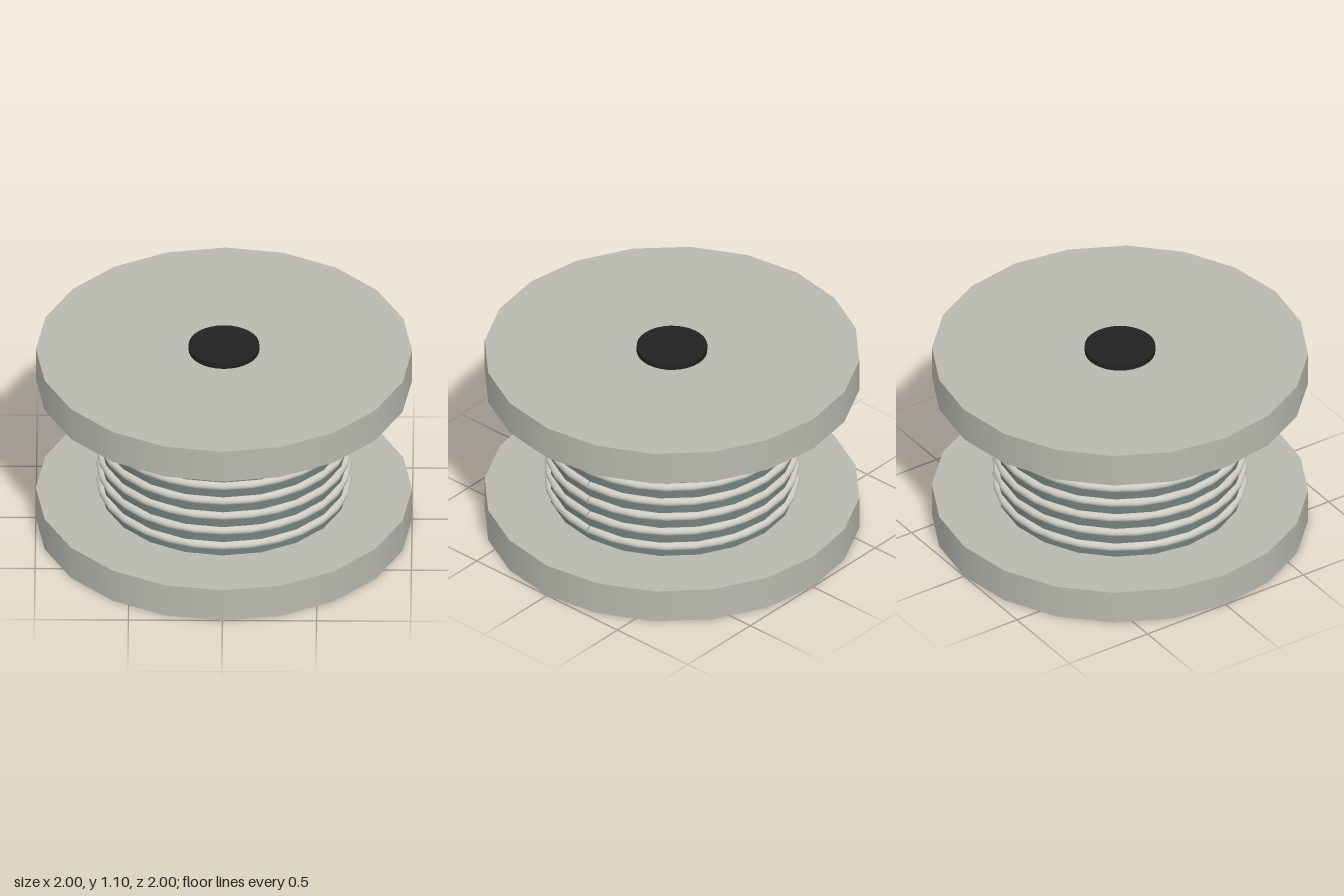
import * as THREE from 'three';

export function createModel() {
  const model = new THREE.Group();
  model.name = 'cableSpool';

  const mat = (name, color, side = THREE.FrontSide) => {
    const m = new THREE.MeshStandardMaterial({ color, side });
    m.name = name;
    return m;
  };
  const flangeGrey = mat('flangeGrey', 0xb9b9b1);
  const coreGrey = mat('coreBlueGrey', 0x74807f);
  const cableGrey = mat('cableLightGrey', 0xcfcdc5, THREE.DoubleSide);
  const hubBlack = mat('hubBlack', 0x222222);

  // Upright cylinder between two heights
  const disc = (name, radius, y0, y1, sides, material) => {
    const mesh = new THREE.Mesh(new THREE.CylinderGeometry(radius, radius, y1 - y0, sides), material);
    mesh.name = name;
    mesh.position.y = (y0 + y1) / 2;
    model.add(mesh);
  };

  disc('bottomFlange', 1, 0, 0.19, 20, flangeGrey);
  disc('topFlange', 1, 0.878, 1.067, 20, flangeGrey);
  disc('core', 0.657, 0.19, 0.878, 20, coreGrey);
  disc('hubCap', 0.188, 1.067, 1.1, 32, hubBlack);

  // Cable turns, each with a hairline seam on the left side (+x)
  const turn = new THREE.TorusGeometry(0.656, 0.0235, 10, 28, Math.PI * 2 - 0.006);
  turn.rotateX(Math.PI / 2);
  const cable = new THREE.Group();
  cable.name = 'cableWinding';
  for (let i = 0; i < 7; i++) {
    const ring = new THREE.Mesh(turn, cableGrey);
    ring.name = `cableTurn${i + 1}`;
    ring.position.y = 0.252 + i * 0.0942;
    cable.add(ring);
  }
  model.add(cable);
  return model;
}
